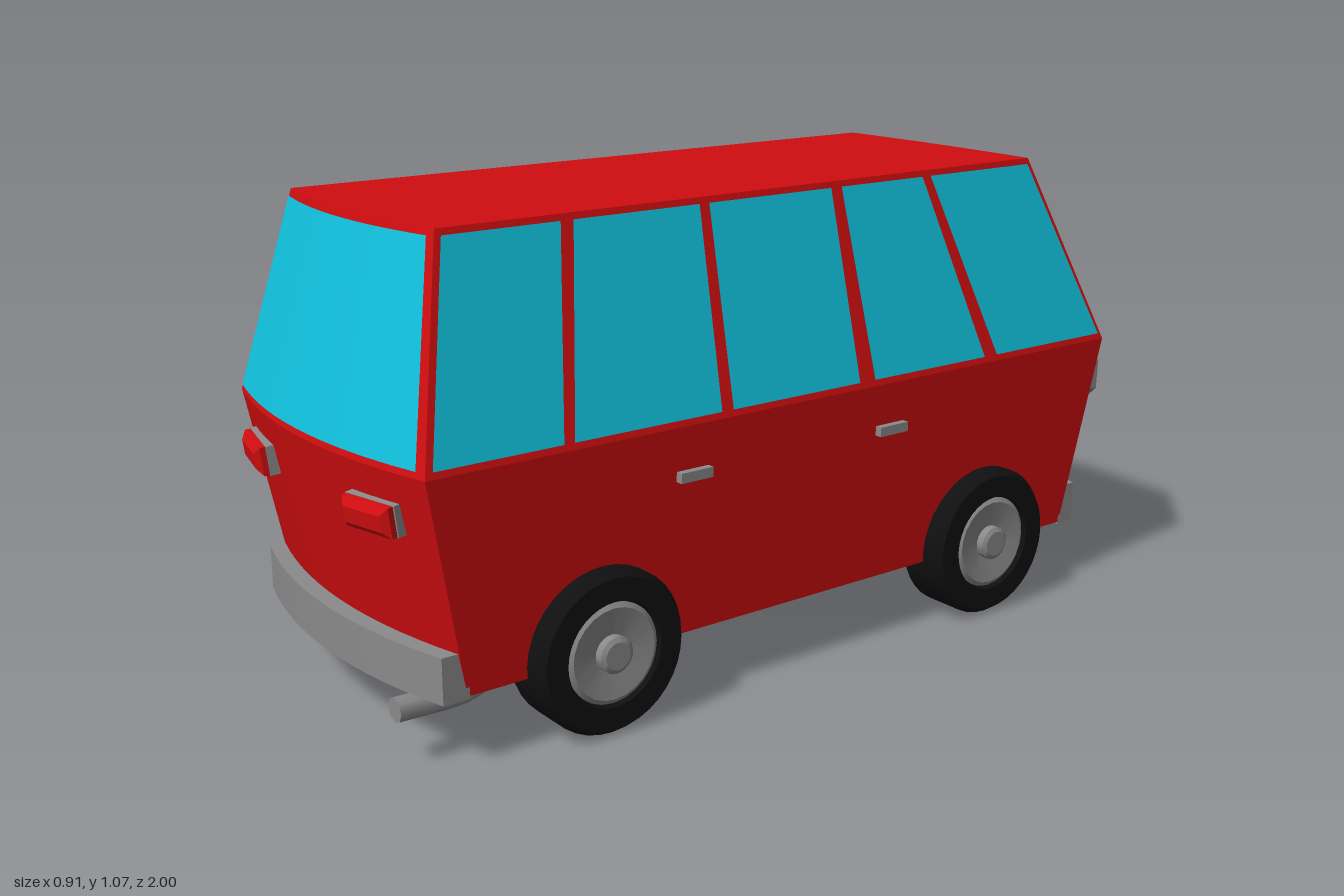
import * as THREE from 'three';
import { toCreasedNormals } from 'three/addons/utils/BufferGeometryUtils.js';

const mat = (name, color) => {
  const m = new THREE.MeshStandardMaterial({ color });
  m.name = name;
  return m;
};
const lerp = THREE.MathUtils.lerp;

// Body levels: height, half width, then corner z and centre bulge of each end
const LEVELS = [
  { y: 0.155, w: 0.391, tail: [0.84, 0.055], nose: [0.862, 0.045] },
  { y: 0.62, w: 0.415, tail: [0.927, 0.06], nose: [0.958, 0.016] },
  { y: 1.068, w: 0.31, tail: [0.83, 0.04], nose: [0.773, 0.01] },
];

// Interpolated body section at height y
function section(y) {
  const i = y > LEVELS[1].y ? 1 : 0;
  const a = LEVELS[i], b = LEVELS[i + 1], t = (y - a.y) / (b.y - a.y);
  const mix = (k) => [lerp(a[k][0], b[k][0], t), lerp(a[k][1], b[k][1], t)];
  return { w: lerp(a.w, b.w, t), tail: mix('tail'), nose: mix('nose') };
}

// Point on the curved tail (s = 1) or nose (s = -1); u runs -1..1 across
function endPoint(s, u, y, out = 0) {
  const c = section(y), [corner, bulge] = s > 0 ? c.tail : c.nose;
  return [s * u * c.w, y, s * (corner + bulge * (1 - u * u) + out)];
}

// Smooth grid surface from a rule f(u, v), facing along du x dv
function patch(f, nu, nv) {
  const pos = [], idx = [];
  for (let j = 0; j <= nv; j++)
    for (let i = 0; i <= nu; i++) pos.push(...f(i / nu, j / nv));
  for (let j = 0; j < nv; j++)
    for (let i = 0; i < nu; i++) {
      const a = j * (nu + 1) + i, d = a + nu + 1;
      idx.push(a, a + 1, d + 1, a, d + 1, d);
    }
  const g = new THREE.BufferGeometry();
  g.setAttribute('position', new THREE.Float32BufferAttribute(pos, 3));
  g.setIndex(idx);
  g.computeVertexNormals();
  return g;
}

// Revolved profile with crisp edges
const lathe = (pts, n, crease = 0.5, start = 0) =>
  toCreasedNormals(new THREE.LatheGeometry(pts.map((p) => new THREE.Vector2(...p)), n, start), crease);

export function createModel() {
  const red = mat('red paint', 0xd00d0f);
  const glass = mat('window blue', 0x10c0dc);
  const grey = mat('metal grey', 0x8a8a8a);
  const under = mat('underside grey', 0x6c6c6c);
  const rubber = mat('tyre black', 0x101010);
  const yellow = mat('lamp yellow', 0xc0b428);

  const model = new THREE.Group();
  const add = (name, geo, material, parent = model) => {
    const m = new THREE.Mesh(geo, material);
    m.name = name;
    parent.add(m);
    return m;
  };

  // Body shell: two bands of ends and sides
  for (let i = 0; i < 2; i++) {
    const y0 = LEVELS[i].y, y1 = LEVELS[i + 1].y, band = i ? 'upper' : 'lower';
    for (const s of [1, -1]) {
      add(band + (s > 0 ? 'Tail' : 'Nose'),
        patch((u, v) => endPoint(s, u * 2 - 1, lerp(y0, y1, v)), 14, 1), red);
      add(band + 'Side', patch((u, v) => {
        const y = lerp(y0, y1, v), c = section(y);
        return [s * c.w, y, s * lerp(s > 0 ? c.tail[0] : c.nose[0], s > 0 ? -c.nose[0] : -c.tail[0], u)];
      }, 1, 1), red);
    }
  }

  // Roof and floor span between the two curved ends
  const cap = (y, dir) => patch((u, v) => {
    const x = u * 2 - 1, t = endPoint(1, x, y), n = endPoint(-1, -x, y);
    return [t[0], y, dir > 0 ? lerp(t[2], n[2], v) : lerp(n[2], t[2], v)];
  }, 14, 1);
  add('roof', cap(LEVELS[2].y, 1), red);
  add('floor', cap(LEVELS[0].y, -1), under);

  // Curved end windows
  for (const s of [1, -1])
    add(s > 0 ? 'tailWindow' : 'windscreen', patch((u, v) =>
      endPoint(s, (u * 2 - 1) * 0.955, lerp(0.635, 1.055, v), 0.005), 14, 1), glass);

  // Side windows: bottom z range, then top z range
  const panes = [
    [0.91, 0.62, 0.82, 0.555],
    [0.595, 0.23, 0.525, 0.215],
    [0.2, -0.155, 0.19, -0.145],
    [-0.2, -0.545, -0.175, -0.42],
    [-0.585, -0.94, -0.445, -0.765],
  ];
  for (const s of [1, -1])
    for (const [b0, b1, t0, t1] of panes)
      add('sideWindow', patch((u, v) => {
        const y = lerp(0.635, 1.055, v), k = s > 0 ? u : 1 - u;
        return [s * (section(y).w + 0.004), y, lerp(lerp(b0, b1, k), lerp(t0, t1, k), v)];
      }, 1, 1), glass);

  // Wheels
  const tyre = lathe([[0, 0], [0.17, 0], [0.179, 0.012], [0.179, 0.112], [0.166, 0.13],
    [0.115, 0.13], [0.108, 0.112]], 36);
  const hub = lathe([[0.112, 0.118], [0.1, 0.126], [0.04, 0.116], [0.04, 0.134], [0.03, 0.14], [0, 0.14]], 24);
  for (const s of [1, -1])
    for (const z of [0.525, -0.57]) {
      const wheel = new THREE.Group();
      wheel.name = 'wheel';
      wheel.position.set(s * 0.315, 0.179, z);
      wheel.rotation.z = -s * Math.PI / 2;
      add('tyre', tyre, rubber, wheel);
      add('hub', hub, grey, wheel);
      model.add(wheel);
    }

  // Curved bumpers
  const bumper = (inner, ends, centre) => {
    const h = 0.392, shape = new THREE.Shape();
    shape.moveTo(-h, inner);
    shape.lineTo(h, inner);
    shape.lineTo(h, ends);
    shape.quadraticCurveTo(0, 2 * centre - ends, -h, ends);
    shape.closePath();
    const g = new THREE.ExtrudeGeometry(shape, { depth: 0.1, bevelEnabled: false, curveSegments: 14 });
    return toCreasedNormals(g.rotateX(Math.PI / 2).translate(0, 0.25, 0), 0.4);
  };
  add('tailBumper', bumper(0.835, 0.895, 0.953), grey);
  add('noseBumper', bumper(0.86, 0.91, 0.955), grey).rotation.y = Math.PI;

  // Ribbed grille following the nose
  const ribs = 6;
  add('grille', patch((u, v) => endPoint(-1, (u * 2 - 1) * 0.91, lerp(0.275, 0.595, v),
    0.003 + 0.016 * Math.abs(Math.sin(v * ribs * Math.PI))), 14, ribs * 8), grey);

  // Eight-sided headlamps
  const bezel = lathe([[0.07, -0.02], [0.088, 0.03], [0.096, 0.036], [0.096, 0.058], [0.072, 0.073],
    [0.054, 0.05]], 8, 0.2, Math.PI / 8);
  const lens = lathe([[0.06, 0.05], [0.03, 0.056], [0, 0.058]], 8, 0.5, Math.PI / 8);
  for (const s of [1, -1]) {
    const lamp = new THREE.Group();
    lamp.name = 'headlamp';
    lamp.position.set(s * 0.297, 0.522, -0.925);
    lamp.rotation.x = -Math.PI / 2 - 0.04;
    add('bezel', bezel, grey, lamp);
    add('lens', lens, yellow, lamp);
    model.add(lamp);
  }

  // Tail lamps: metal housing with a bevelled red lens
  const lensShape = new THREE.Shape([[-0.055, -0.017], [0.055, -0.017], [0.055, 0.017], [-0.055, 0.017]]
    .map((p) => new THREE.Vector2(...p)));
  const tailLens = new THREE.ExtrudeGeometry(lensShape, {
    depth: 0.012, bevelEnabled: true, bevelThickness: 0.012, bevelSize: 0.015, bevelSegments: 1,
  });
  for (const s of [1, -1]) {
    const lamp = new THREE.Group();
    lamp.name = 'tailLamp';
    lamp.position.set(s * 0.253, 0.522, 0.936);
    lamp.rotation.set(0.12, s * 0.2, 0);
    add('housing', new THREE.BoxGeometry(0.148, 0.066, 0.05), grey, lamp);
    add('lens', tailLens, red, lamp).position.z = 0.025;
    model.add(lamp);
  }

  // Door handles
  for (const s of [1, -1])
    for (const z of [0.303, -0.252])
      add('doorHandle', new THREE.BoxGeometry(0.024, 0.022, 0.082), grey).position.set(s * 0.415, 0.514, z);

  // Exhaust pipe
  const path = new THREE.CatmullRomCurve3([[0.3, 0.17, 0.66], [0.3, 0.145, 0.74], [0.3, 0.124, 0.8], [0.3, 0.124, 0.953]]
    .map((p) => new THREE.Vector3(...p)));
  add('exhaustPipe', new THREE.TubeGeometry(path, 16, 0.027, 8), grey);
  add('exhaustEnd', new THREE.CircleGeometry(0.027, 8), grey).position.set(0.3, 0.124, 0.953);

  return model;
}
